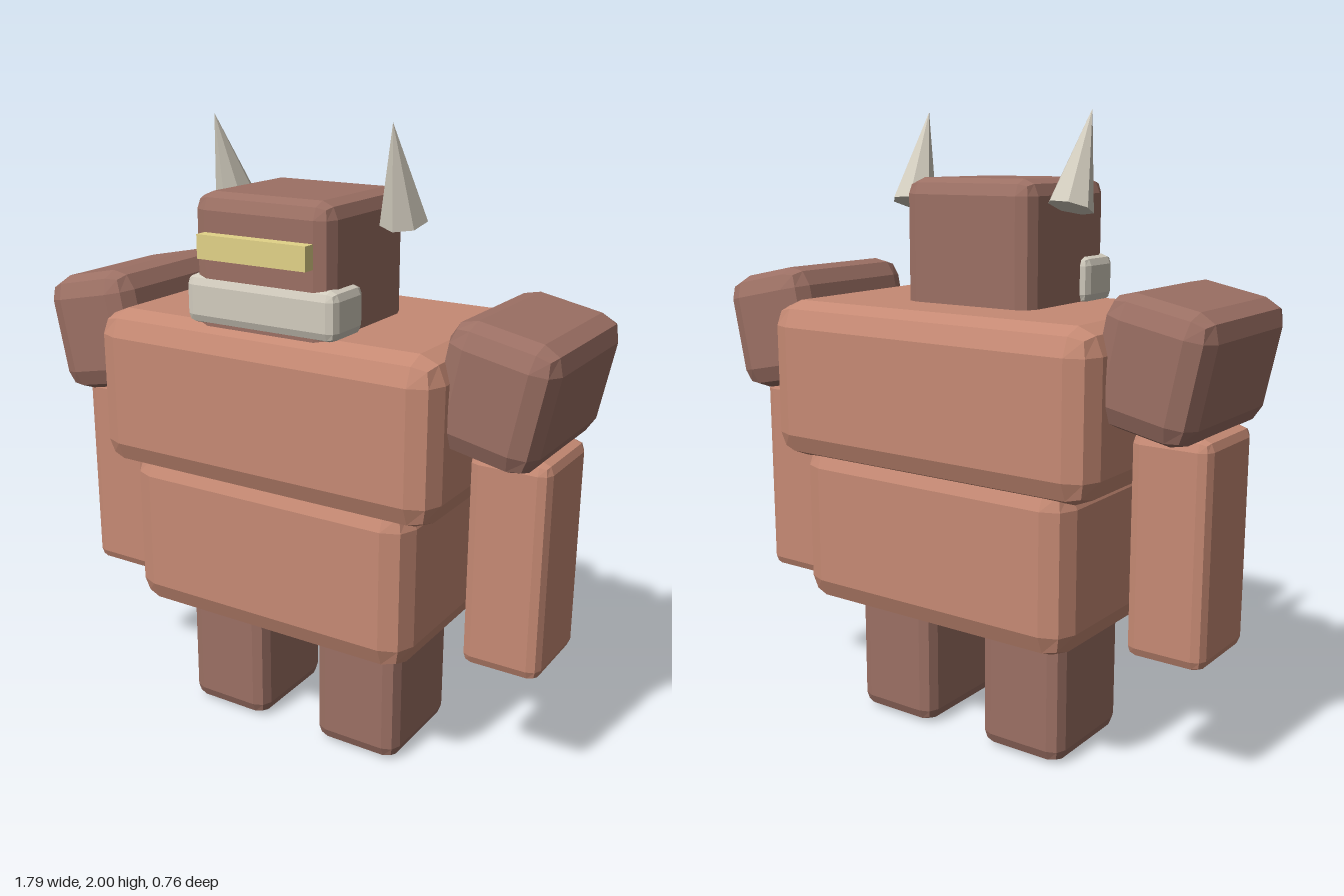
import * as THREE from 'three';
import { RoundedBoxGeometry } from 'three/addons/geometries/RoundedBoxGeometry.js';

const mat = (color) => new THREE.MeshStandardMaterial({ color, flatShading: true });

export function createModel() {
  const model = new THREE.Group();
  const clay = mat(0xc68a74);
  const darkClay = mat(0x9c7064);
  const bone = mat(0xd2ccbe);
  const glow = mat(0xe2d288);

  const add = (name, geometry, material, x, y, z) => {
    const mesh = new THREE.Mesh(geometry, material);
    mesh.name = name;
    mesh.position.set(x, y, z);
    model.add(mesh);
    return mesh;
  };
  // Block with a two-band bevel on every edge
  const block = (name, material, [w, h, d], r, x, y, z) =>
    add(name, new RoundedBoxGeometry(w, h, d, 1, r), material, x, y, z);

  // Body
  block('belly', clay, [1.01, 0.54, 0.70], 0.08, 0, 0.685, 0);
  block('chest', clay, [1.195, 0.51, 0.765], 0.08, 0, 1.155, 0);

  // Head
  block('head', darkClay, [0.475, 0.46, 0.455], 0.05, 0, 1.565, 0.1);
  block('jaw', bone, [0.525, 0.15, 0.175], 0.03, 0, 1.477, 0.25);
  add('eyeSlit', new THREE.BoxGeometry(0.375, 0.072, 0.08), glow, 0, 1.645, 0.328);

  // Paired parts, left (+x) and right (-x)
  for (const s of [1, -1]) {
    const side = s > 0 ? 'left' : 'right';
    block(side + 'Leg', darkClay, [0.30, 0.425, 0.38], 0.045, s * 0.251, 0.2125, 0);
    block(side + 'Arm', clay, [0.252, 0.687, 0.303], 0.035, s * 0.725, 0.754, 0);

    const pad = block(side + 'ShoulderPad', darkClay, [0.337, 0.384, 0.57], 0.07, s * 0.705, 1.293, 0);
    pad.rotation.z = -s * 0.2;

    // Horn leaning forward and slightly outward
    const horn = add(side + 'Horn', new THREE.ConeGeometry(0.073, 0.305, 7), bone, s * 0.303, 1.855, 0.054);
    horn.rotation.set(0.33, 0, -s * 0.04);
  }
  return model;
}
